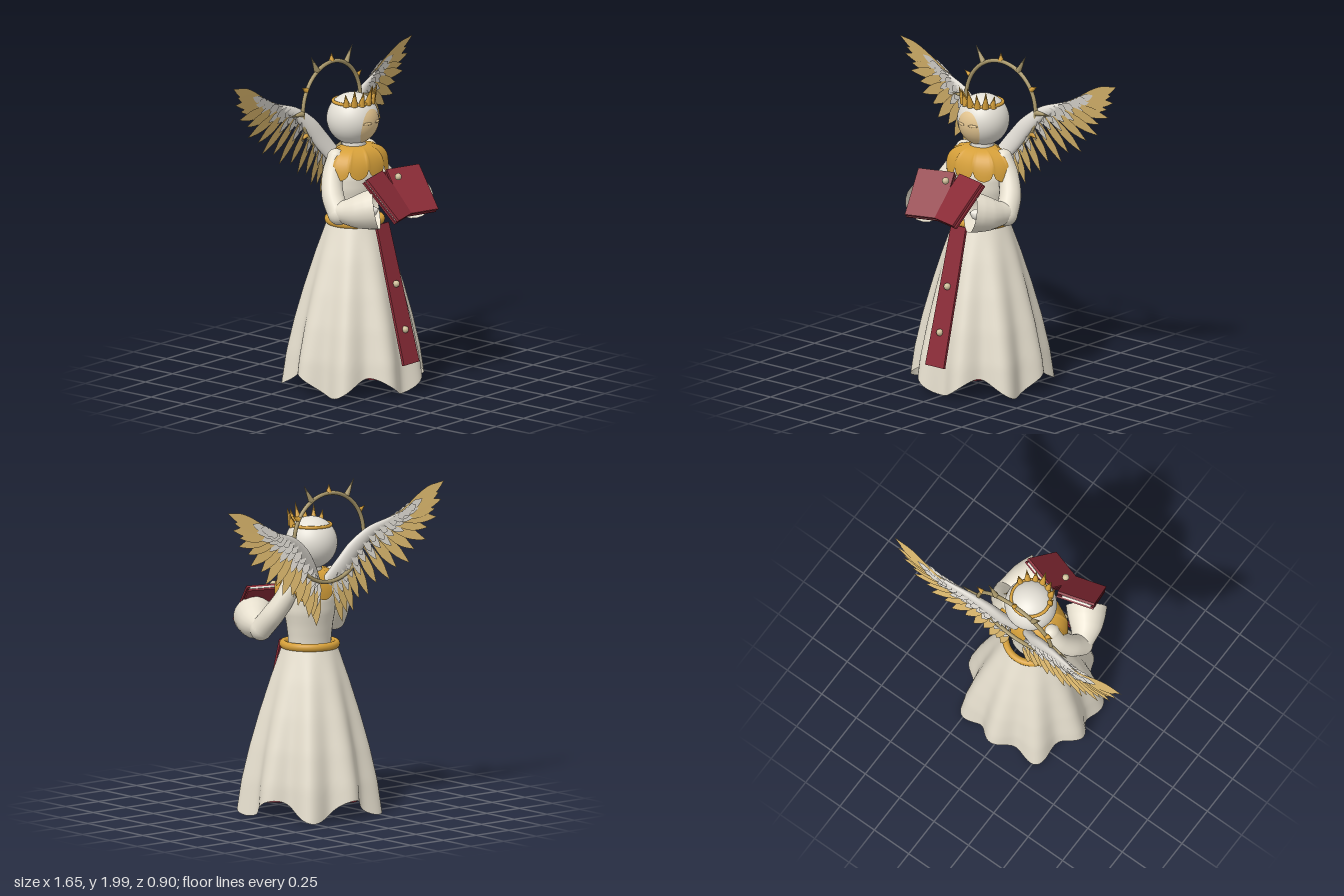
import * as THREE from 'three';

const mat = (name, color) => Object.assign(
  new THREE.MeshStandardMaterial({ color, side: THREE.DoubleSide }), { name });
const V = (x, y, z) => new THREE.Vector3(x, y, z);

// Surface from a rule f(u, v): u runs around (closed loop), v runs along.
function loop(nu, nv, f) {
  const pos = [], idx = [];
  for (let j = 0; j <= nv; j++)
    for (let i = 0; i < nu; i++) pos.push(...f((i / nu) * Math.PI * 2, j / nv));
  for (let j = 0; j < nv; j++)
    for (let i = 0; i < nu; i++) {
      const a = j * nu + i, b = j * nu + ((i + 1) % nu);
      idx.push(a, a + nu, b, b, a + nu, b + nu);
    }
  const g = new THREE.BufferGeometry();
  g.setAttribute('position', new THREE.Float32BufferAttribute(pos, 3));
  g.setIndex(idx);
  g.computeVertexNormals();
  return g;
}

// Linear lookup in a short list of values.
function sample(list, t) {
  const s = t * (list.length - 1), i = Math.min(Math.floor(s), list.length - 2);
  return list[i] + (list[i + 1] - list[i]) * (s - i);
}

// Tube with changing radius; flat squeezes it along the second axis.
function taper(points, radii, ref, flat = 1) {
  const c = new THREE.CatmullRomCurve3(points);
  return loop(20, 24, (u, v) => {
    const t = c.getTangent(v), n = t.clone().cross(ref).normalize(), b = n.clone().cross(t);
    const r = sample(radii, v);
    return c.getPoint(v).addScaledVector(n, r * Math.cos(u)).addScaledVector(b, r * flat * Math.sin(u)).toArray();
  });
}

export function createModel() {
  const root = new THREE.Group();
  root.name = 'angelStatue';
  const robe = mat('robe', 0xe6dfce), stone = mat('paleStone', 0xe4e0d6), gold = mat('gold', 0xd6a03a);
  const plume = mat('featherGold', 0xdcb86e), covert = mat('featherWhite', 0xdedad2);
  const bronze = mat('bronze', 0xa8976a), bead = mat('bead', 0xcfc09a);
  const red = mat('red', 0x8b2b37), skin = mat('face', 0xe8c993);

  const add = (name, geo, m, parent = root, p = [0, 0, 0]) => {
    const mesh = new THREE.Mesh(geo, m);
    mesh.name = name;
    mesh.position.set(...p);
    parent.add(mesh);
    return mesh;
  };
  const CZ = -0.03;

  // Pleated skirt with a wavy hem, and its red lining just inside
  const bell = [0.395, 0.374, 0.335, 0.285, 0.227, 0.16];
  const skirt = (inset, hemAt) => loop(144, 28, (u, v) => {
    const hem = hemAt(u), y = hem + (1.0 - hem) * v;
    const fold = 0.037 * Math.pow(1 - y, 1.2) * (Math.cos(9 * (u + Math.PI / 2)) + 0.15 * Math.sin(4 * u));
    const r = sample(bell, y) + fold - inset;
    return [r * Math.cos(u), y, CZ + r * Math.sin(u)];
  });
  add('skirt', skirt(0, u => 0.06 + 0.06 * Math.cos(5 * (u + Math.PI / 2))), robe);
  add('skirtLining', skirt(0.012, () => 0.11), red);

  // Belt, torso, neck
  const belt = add('belt', new THREE.TorusGeometry(0.157, 0.021, 12, 48), gold, root, [0, 1.0, CZ]);
  belt.rotation.x = Math.PI / 2;
  belt.scale.z = 1.15;
  const waist = [0.135, 0.14, 0.15, 0.165, 0.165, 0.14, 0.05];
  add('torso', loop(32, 24, (u, v) => {
    const r = sample(waist, v);
    return [r * Math.cos(u), 0.97 + 0.46 * v, CZ + 0.78 * r * Math.sin(u)];
  }), robe);
  add('neck', new THREE.CylinderGeometry(0.065, 0.075, 0.12, 20), stone, root, [0, 1.43, -0.035]);

  // Scalloped shoulder cape
  add('cape', loop(120, 12, (u, v) => {
    const hem = 1.332 - 0.055 * Math.sqrt(Math.abs(Math.sin(5 * u)));
    const r = 0.3 + 0.7 * Math.sin((1 - v) * Math.PI / 2);
    return [0.222 * r * Math.cos(u), hem + (1.45 - hem) * (1 - (1 - v) ** 2), -0.015 + 0.157 * r * Math.sin(u)];
  }), gold);

  // Head, face and closed eyes
  const HY = 1.605, HZ = -0.045;
  add('head', new THREE.SphereGeometry(0.154, 40, 28), stone, root, [0, HY, HZ]);
  add('face', loop(40, 10, (u, v) => {
    const x = 0.078 * v * Math.cos(u), y = -0.03 + 0.105 * v * Math.sin(u);
    return [x, HY + y, HZ + Math.sqrt(0.1565 ** 2 - x * x - y * y)];
  }), skin);
  for (const s of [1, -1]) {
    const eye = add('eye', new THREE.SphereGeometry(0.03, 16, 10), skin, root, [s * 0.045, 1.6, 0.105]);
    eye.scale.set(1, 0.28, 0.22);
    eye.rotation.y = s * 0.3;
  }

  // Crown: ring with outward spikes on the front half
  const crown = new THREE.Group();
  crown.name = 'crown';
  crown.position.set(0, 1.71, HZ);
  root.add(crown);
  add('crownRing', new THREE.TorusGeometry(0.115, 0.01, 10, 48), gold, crown).rotation.x = Math.PI / 2;
  for (let i = -3; i <= 3; i++) {
    const h = [0.13, 0.095, 0.11, 0.08][Math.abs(i)];
    const pivot = new THREE.Group();
    pivot.name = 'crownPoint';
    pivot.rotation.y = i * 0.4;
    crown.add(pivot);
    const cone = add('crownSpike', new THREE.ConeGeometry(0.022, h, 8), gold, pivot, [0, h / 2 - 0.008, 0.115 + h * 0.13]);
    cone.rotation.x = 0.28;
  }

  // Halo with alternating long and short spikes
  const halo = new THREE.Group();
  halo.name = 'halo';
  halo.position.set(0, 1.655, -0.205);
  root.add(halo);
  add('haloRing', new THREE.TorusGeometry(0.264, 0.012, 10, 72), bronze, halo);
  for (let i = -1; i <= 7; i++) {
    const a = i * Math.PI / 6, long = i % 2 === 0, h = long ? 0.115 : 0.05, r = 0.27 + h / 2;
    const spike = add('haloSpike', new THREE.ConeGeometry(long ? 0.018 : 0.017, h, 8), long ? bronze : gold, halo,
      [r * Math.cos(a), r * Math.sin(a), 0]);
    spike.rotation.z = a - Math.PI / 2;
  }

  // Feather: a pointed blade from base to tip
  const blade = new THREE.Shape();
  blade.moveTo(-0.25, 0);
  blade.quadraticCurveTo(-0.65, 0.5, -0.42, 0.72);
  blade.lineTo(0, 1);
  blade.quadraticCurveTo(0.5, 0.75, 0.5, 0.5);
  blade.lineTo(0.25, 0);
  const bladeGeo = new THREE.ShapeGeometry(blade, 5);
  const feather = (parent, name, m, a, b, w, roll) => {
    const f = add(name, bladeGeo, m, parent, a.toArray());
    const y = b.clone().sub(a), len = y.length();
    y.normalize();
    const z = V(0, 0, 1).addScaledVector(y, -y.z).normalize();
    f.quaternion.setFromRotationMatrix(new THREE.Matrix4().makeBasis(y.clone().cross(z), y, z));
    f.rotateY(roll);
    f.scale.set(w, len, 1);
  };

  // Curves that carry the feather bases and tips
  const bases = new THREE.CatmullRomCurve3([V(0.07, 1.40, -0.165), V(0.12, 1.48, -0.18), V(0.19, 1.57, -0.2),
    V(0.27, 1.65, -0.225), V(0.35, 1.69, -0.245), V(0.42, 1.72, -0.26), V(0.48, 1.745, -0.275), V(0.53, 1.765, -0.28)]);
  const tips = new THREE.CatmullRomCurve3([V(0.10, 1.14, -0.21), V(0.17, 1.20, -0.225), V(0.27, 1.285, -0.245),
    V(0.41, 1.365, -0.27), V(0.55, 1.45, -0.285), V(0.67, 1.575, -0.29), V(0.755, 1.70, -0.285),
    V(0.795, 1.80, -0.28), V(0.825, 1.905, -0.27)]);

  for (const s of [1, -1]) {
    const side = s > 0 ? 'left' : 'right';
    const wing = new THREE.Group();
    wing.name = side + 'Wing';
    wing.scale.x = s;
    root.add(wing);
    add('wingArm', taper([V(0.05, 1.36, -0.13), V(0.12, 1.46, -0.17), V(0.2, 1.57, -0.2), V(0.3, 1.66, -0.23),
      V(0.41, 1.71, -0.255), V(0.53, 1.765, -0.275)], [0.05, 0.055, 0.05, 0.035, 0.022, 0.006], V(0, 0, 1), 0.6), covert, wing);
    const N = 17;
    for (let i = 0; i < N; i++) {
      const t = i / (N - 1), a = bases.getPoint(t), b = tips.getPoint(t);
      if (i % 2) b.lerp(a, 0.1);
      feather(wing, 'flightFeather', plume, a, b, 0.072, 0.2);
      // Two rows of white coverts on both faces
      for (const [row, reach] of [[1, 0.58], [2, 0.38]])
        for (const f of [1, -1]) {
          const off = V(0, 0, f * 0.008 * row);
          const k = reach - (i % 2) * 0.07 - 0.18 * t;
          feather(wing, 'covertFeather', covert, a.clone().add(off), a.clone().lerp(b, k).add(off), 0.058 - 0.014 * t, 0.2);
        }
    }

    // Arm with bell sleeve, and hand
    const arm = new THREE.Group();
    arm.name = side + 'Arm';
    arm.scale.x = s;
    root.add(arm);
    add('upperSleeve', taper([V(0.15, 1.40, -0.05), V(0.195, 1.30, -0.04), V(0.25, 1.19, 0.01), V(0.28, 1.10, 0.08)],
      [0.05, 0.06, 0.066, 0.066], V(1, 0, 0)), robe, arm);
    add('shoulder', new THREE.SphereGeometry(0.052, 20, 14), robe, arm, [0.15, 1.395, -0.05]);
    add('elbow', new THREE.SphereGeometry(0.066, 20, 14), robe, arm, [0.28, 1.10, 0.08]);
    add('bellSleeve', taper([V(0.285, 1.11, 0.07), V(0.235, 1.12, 0.18), V(0.17, 1.14, 0.275)],
      [0.058, 0.076, 0.098, 0.113, 0.122], V(1, 0, 0)), robe, arm);
    add('hand', taper([V(0.25, 1.11, 0.15), V(0.22, 1.13, 0.26), V(0.195, 1.15, 0.31)],
      [0.026, 0.03, 0.034, 0.03, 0.005], V(1, 0, 0)), stone, arm);

    // One half of the open book: two boards with a thin page block between
    const book = new THREE.Group();
    book.name = side + 'Book';
    book.scale.x = s;
    root.add(book);
    const half = new THREE.Group();
    half.name = side + 'BookHalf';
    const u = V(0.195, 0, 0.058).normalize(), v = V(0.04, 0.23, -0.2).normalize(), n = u.clone().cross(v).normalize();
    half.quaternion.setFromRotationMatrix(new THREE.Matrix4().makeBasis(u, n.clone().cross(u), n));
    half.position.set(0.1125, 1.215, 0.329);
    book.add(half);
    add('frontBoard', new THREE.BoxGeometry(0.23, 0.305, 0.016), red, half, [-0.0125, 0, -0.008]);
    add('pages', new THREE.BoxGeometry(0.18, 0.298, 0.012), stone, half, [-0.005, 0.007, -0.022]);
    add('backBoard', new THREE.BoxGeometry(0.23, 0.305, 0.012), red, half, [-0.0125, 0, -0.034]);
  }

  // Hanging sash, slightly wider at the foot
  const sashGeo = new THREE.BoxGeometry(0.125, 0.84, 0.016);
  const sp = sashGeo.attributes.position;
  for (let i = 0; i < sp.count; i++) sp.setX(i, sp.getX(i) * (sp.getY(i) > 0 ? 0.9 : 1.13));
  add('sash', sashGeo, red, root, [0, 0.595, 0.285]).rotation.x = -Math.atan2(0.22, 0.81);

  // Beads on the sash and book
  for (const [y, z] of [[0.655, 0.285], [0.39, 0.353], [1.305, 0.3]])
    add('bead', new THREE.SphereGeometry(0.021, 10, 8), bead, root, [0, y, z]);

  return root;
}
